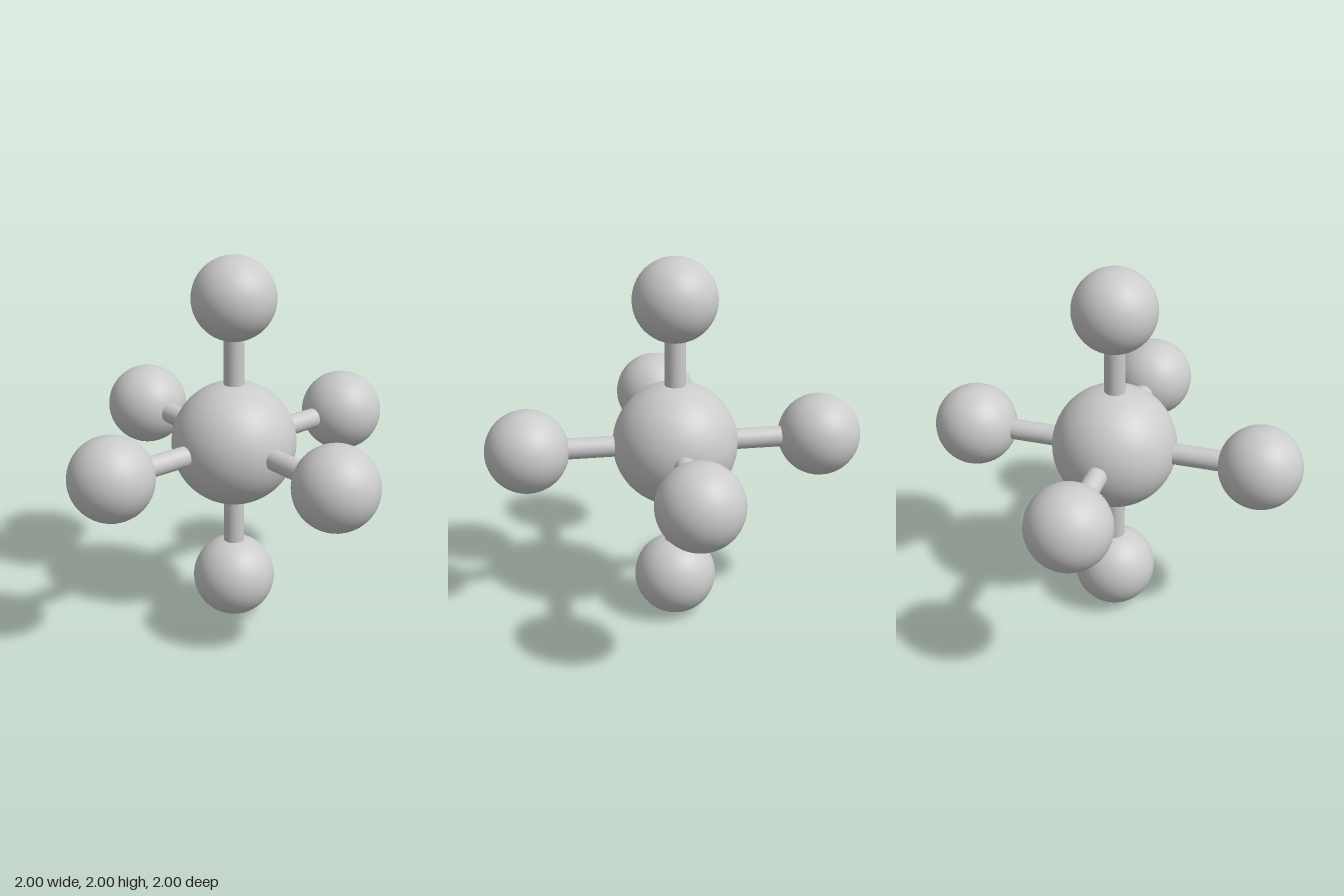
import * as THREE from 'three';

const CORE_RADIUS = 0.33;
const BALL_RADIUS = 0.22;
const ROD_RADIUS = 0.055;
const REACH = 1 - BALL_RADIUS; // core centre to outer ball centre

export function createModel() {
  const model = new THREE.Group();
  model.name = 'octahedralMolecule';
  const material = new THREE.MeshStandardMaterial({ color: 0xcccccc });

  // Central ball
  const core = new THREE.Mesh(new THREE.SphereGeometry(CORE_RADIUS, 64, 40), material);
  core.name = 'centralBall';
  core.position.y = 1;
  model.add(core);

  // Shared parts of each arm, built along +y; rod ends are buried in both balls
  const rodStart = CORE_RADIUS - 0.05;
  const rodEnd = REACH - BALL_RADIUS + 0.05;
  const rodGeometry = new THREE.CylinderGeometry(ROD_RADIUS, ROD_RADIUS, rodEnd - rodStart, 32);
  rodGeometry.translate(0, (rodStart + rodEnd) / 2, 0);
  const ballGeometry = new THREE.SphereGeometry(BALL_RADIUS, 48, 32);
  ballGeometry.translate(0, REACH, 0);

  // Six arms, one along each axis direction
  const arms = {
    top: [0, 0, 0],
    bottom: [Math.PI, 0, 0],
    front: [Math.PI / 2, 0, 0],
    back: [-Math.PI / 2, 0, 0],
    left: [0, 0, -Math.PI / 2],
    right: [0, 0, Math.PI / 2],
  };
  for (const [side, rotation] of Object.entries(arms)) {
    const arm = new THREE.Group();
    arm.name = `${side}Arm`;
    const rod = new THREE.Mesh(rodGeometry, material);
    rod.name = `${side}Rod`;
    const ball = new THREE.Mesh(ballGeometry, material);
    ball.name = `${side}Ball`;
    arm.add(rod, ball);
    arm.rotation.set(...rotation);
    arm.position.y = 1;
    model.add(arm);
  }

  return model;
}
